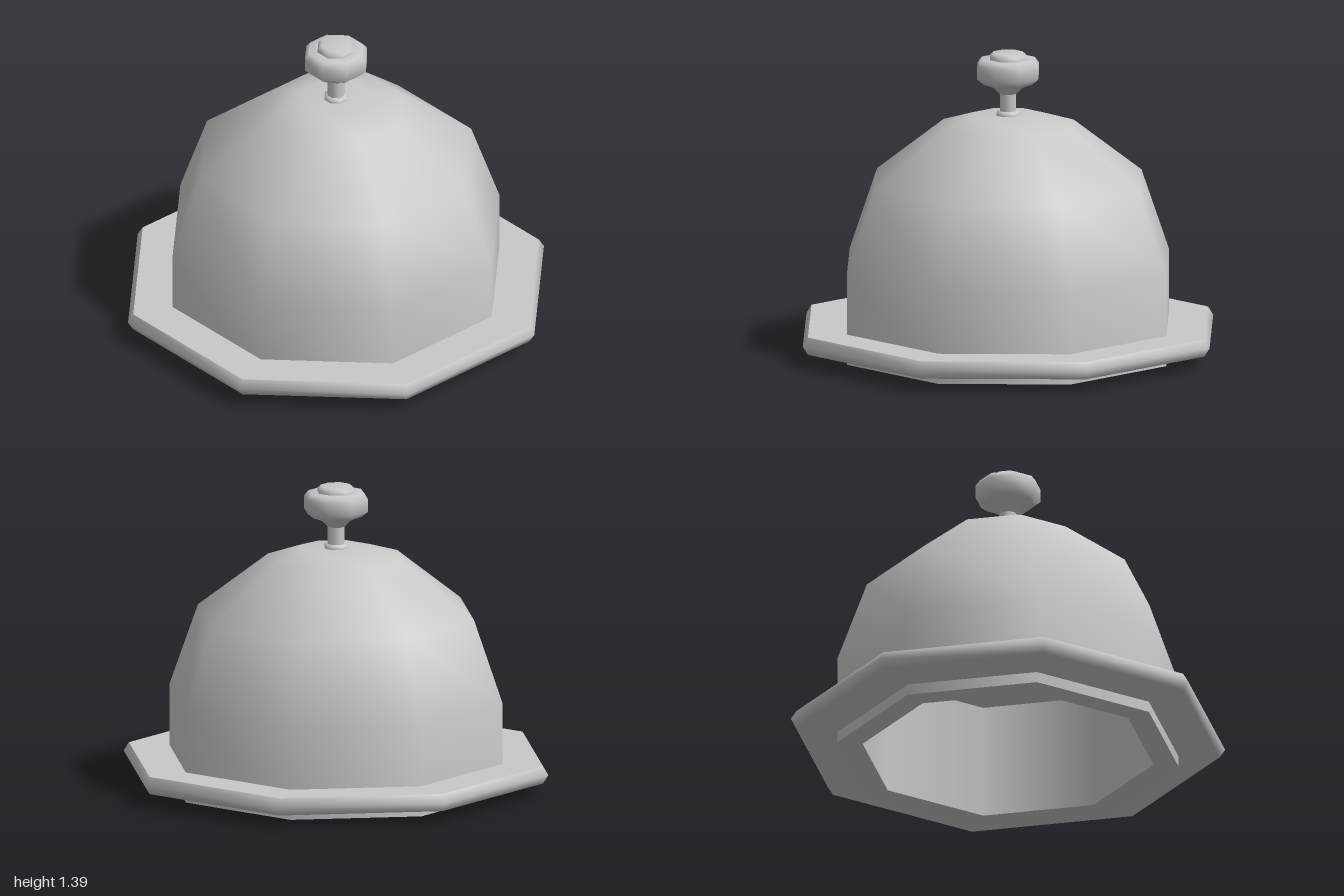
import * as THREE from 'three';

const SIDES = 8;

export function createModel() {
  const model = new THREE.Group();
  const silver = new THREE.MeshStandardMaterial({ color: 0xc8c8c8 });
  silver.name = 'silver';

  // Eight-sided turned surface; profiles run bottom to top on the outside.
  function turn(parent, name, profile) {
    const points = profile.map(([r, y]) => new THREE.Vector2(r, y));
    const mesh = new THREE.Mesh(new THREE.LatheGeometry(points, SIDES), silver);
    mesh.name = name;
    parent.add(mesh);
  }

  // Bell cover: outer shell, bottom lip and a flat-topped hollow
  const cover = new THREE.Group();
  cover.name = 'cover';
  turn(cover, 'outerShell', [[0.785, 0], [0.785, 0.42], [0.65, 0.8], [0.32, 1.055], [0.17, 1.1], [0, 1.1]]);
  turn(cover, 'bottomLip', [[0.67, 0], [0.785, 0]]);
  turn(cover, 'innerWall', [[0.67, 0.54], [0.67, 0]]);
  turn(cover, 'innerCeiling', [[0, 0.54], [0.67, 0.54]]);

  // Wide flange around the base, with a crisp flat top
  const flange = new THREE.Group();
  flange.name = 'flange';
  turn(flange, 'flangeUnderside', [[0.77, 0.05], [0.975, 0.06], [1, 0.1], [0.975, 0.14]]);
  turn(flange, 'flangeTop', [[0.975, 0.14], [0.77, 0.14]]);

  // Knob: collar, stem, flared grip and button
  const knob = new THREE.Group();
  knob.name = 'knob';
  turn(knob, 'collar', [[0.055, 1.1], [0.055, 1.115], [0.04, 1.12]]);
  turn(knob, 'stem', [[0.04, 1.11], [0.04, 1.205]]);
  turn(knob, 'grip', [[0.04, 1.2], [0.07, 1.23], [0.12, 1.25], [0.15, 1.275], [0.15, 1.335], [0.13, 1.36], [0.08, 1.36]]);
  turn(knob, 'button', [[0.088, 1.355], [0.088, 1.375], [0.07, 1.39], [0, 1.39]]);

  model.add(cover, flange, knob);
  return model;
}
